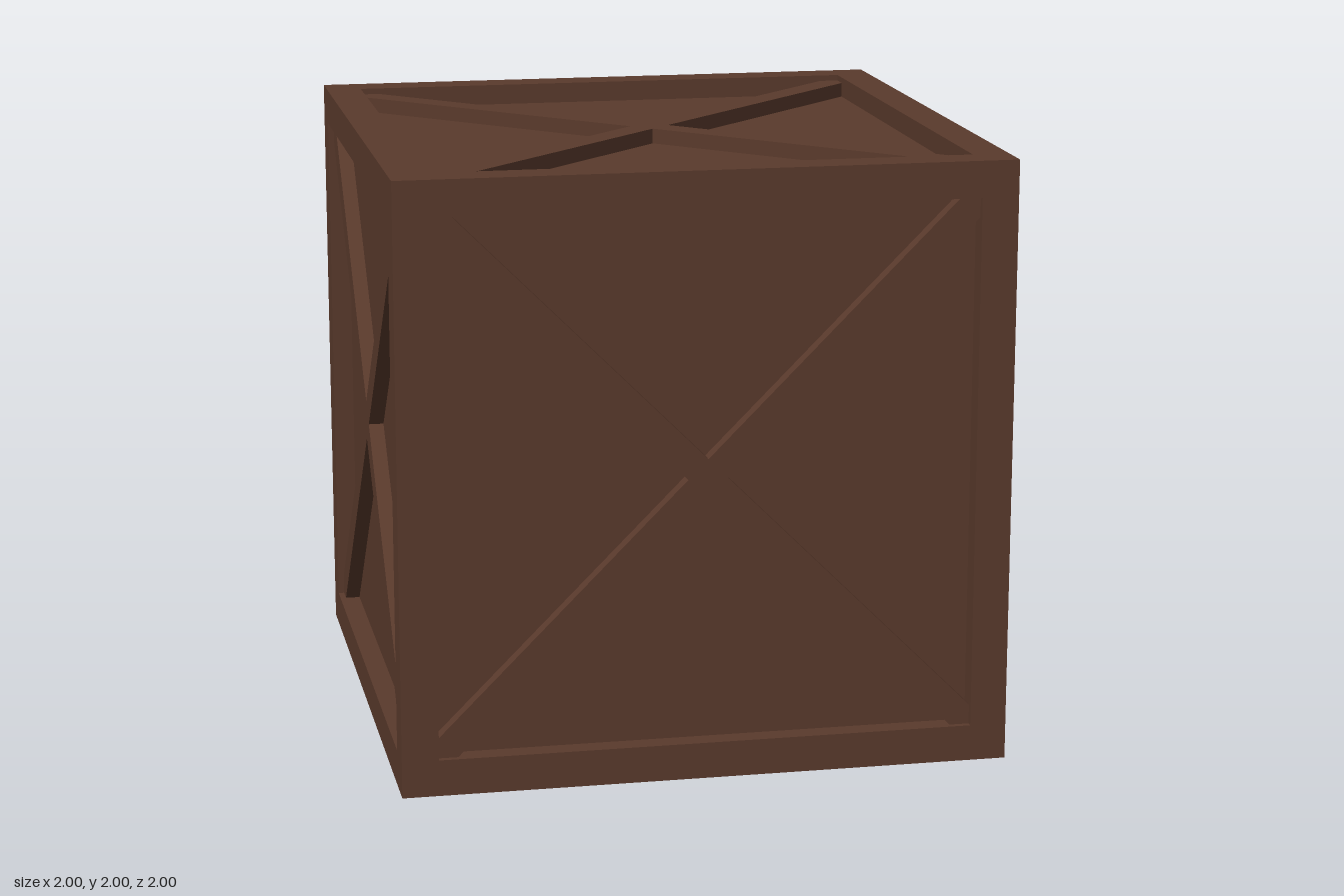
import * as THREE from 'three';

const BEAM = 0.12;   // frame thickness
const INNER = 1 - BEAM;
const PANEL = 0.93;  // distance of the panels from the centre
const BRACE = 0.98;  // distance of the brace fronts from the centre
const HALF = 0.065;  // half the diagonal width of a brace

// X-shaped outline clipped to the frame opening, with an optional peg hole
function crossShape(withHole) {
  const points = [];
  for (let i = 0; i < 4; i++) {
    const a = -i * Math.PI / 2;
    for (const [x, y] of [[0, HALF], [INNER - HALF, INNER], [INNER, INNER], [INNER, INNER - HALF]]) {
      points.push(new THREE.Vector2(x, y).rotateAround(new THREE.Vector2(), a));
    }
  }
  const shape = new THREE.Shape(points);
  if (withHole) {
    const s = 0.015;
    shape.holes.push(new THREE.Path([[-s, -s], [-s, s], [s, s], [s, -s]].map(p => new THREE.Vector2(...p))));
  }
  return shape;
}

export function createModel() {
  const crate = new THREE.Group();
  crate.name = 'crate';
  const wood = new THREE.MeshStandardMaterial({ color: 0x5a3a2c });
  wood.name = 'dark brown wood';

  const add = (name, geometry, x = 0, y = 1, z = 0) => {
    const mesh = new THREE.Mesh(geometry, wood);
    mesh.name = name;
    mesh.position.set(x, y, z);
    crate.add(mesh);
    return mesh;
  };

  // Recessed panels
  add('panels', new THREE.BoxGeometry(PANEL * 2, PANEL * 2, PANEL * 2));

  // Frame: four posts, then the rails between them
  const c = 1 - BEAM / 2;
  for (const a of [-c, c]) {
    for (const b of [-c, c]) {
      add('cornerPost', new THREE.BoxGeometry(BEAM, 2, BEAM), a, 1, b);
      add('crossRail', new THREE.BoxGeometry(INNER * 2, BEAM, BEAM), 0, 1 + a, b);
      add('sideRail', new THREE.BoxGeometry(BEAM, BEAM, INNER * 2), a, 1 + b, 0);
    }
  }

  // Crossed braces on all six faces; the top one has a small square hole
  const q = Math.PI / 2;
  const faces = {
    front: [0, 0], left: [0, q], back: [0, 2 * q], right: [0, -q], top: [-q, 0], bottom: [q, 0],
  };
  for (const [face, [rx, ry]] of Object.entries(faces)) {
    const geometry = new THREE.ExtrudeGeometry(crossShape(face === 'top'), { depth: BRACE - PANEL, bevelEnabled: false });
    geometry.translate(0, 0, PANEL);
    add(face + 'Brace', geometry).rotation.set(rx, ry, 0);
  }
  return crate;
}
